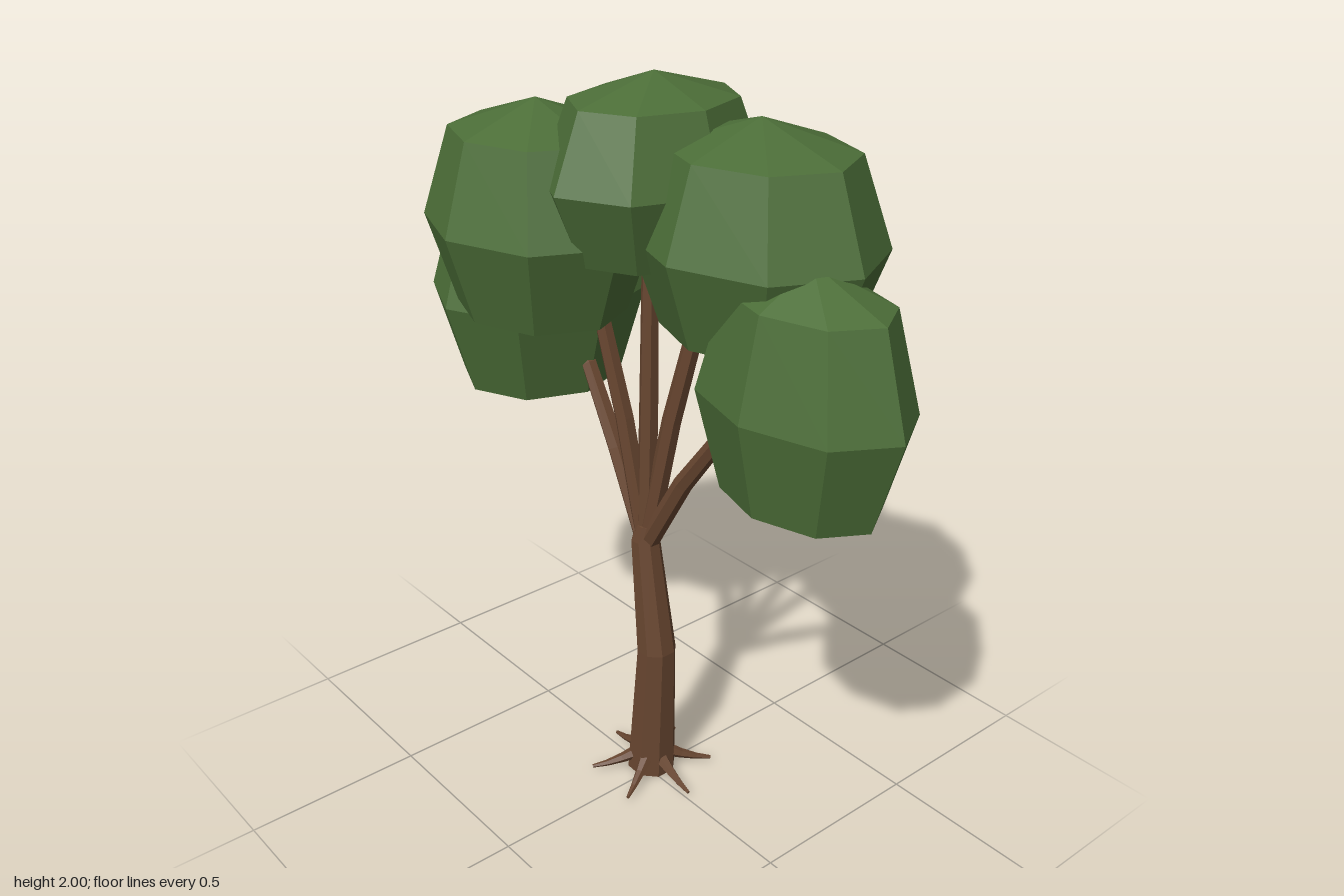
import * as THREE from 'three';

const V = (p) => new THREE.Vector3(...p);

function faceted(geometry) {
  const g = geometry.index ? geometry.toNonIndexed() : geometry;
  g.computeVertexNormals();
  return g;
}

// Tapered, capped limb through points [x, y, z, radius]
function limb(path, sides) {
  const pts = path.map((p) => V(p.slice(0, 3)));
  const up = new THREE.Vector3(0, 1, 0);
  const positions = [];
  const index = [];
  pts.forEach((p, k) => {
    const dir = pts[Math.min(k + 1, pts.length - 1)].clone().sub(pts[Math.max(k - 1, 0)]).normalize();
    const q = new THREE.Quaternion().setFromUnitVectors(up, dir);
    for (let s = 0; s < sides; s++) {
      const a = ((s + 0.5) / sides) * Math.PI * 2;
      const v = new THREE.Vector3(Math.cos(a), 0, Math.sin(a)).multiplyScalar(path[k][3]);
      positions.push(...v.applyQuaternion(q).add(p).toArray());
    }
  });
  const last = (pts.length - 1) * sides;
  const c0 = pts.length * sides;
  positions.push(...pts[0].toArray(), ...pts[pts.length - 1].toArray());
  for (let s = 0; s < sides; s++) {
    const t = (s + 1) % sides;
    for (let k = 0; k < last; k += sides) {
      index.push(k + s, k + sides + s, k + t, k + sides + s, k + sides + t, k + t);
    }
    index.push(c0, s, t, c0 + 1, last + t, last + s);
  }
  const g = new THREE.BufferGeometry();
  g.setAttribute('position', new THREE.Float32BufferAttribute(positions, 3));
  g.setIndex(index);
  return faceted(g);
}

// Eight-sided leaf clump, its middle rings pushed out a little
function clump(radii) {
  const g = new THREE.SphereGeometry(1, 8, 4);
  const pos = g.attributes.position;
  for (let i = 0; i < pos.count; i++) {
    const y = Math.abs(pos.getY(i));
    const k = y > 0.5 && y < 0.9 ? 1.06 : 1;
    pos.setXYZ(i, pos.getX(i) * k * radii[0], pos.getY(i) * k * radii[1], pos.getZ(i) * k * radii[2]);
  }
  return faceted(g);
}

export function createModel() {
  const tree = new THREE.Group();
  tree.name = 'tree';
  const bark = new THREE.MeshStandardMaterial({ color: 0x684630 });
  bark.name = 'bark brown';
  const leaf = new THREE.MeshStandardMaterial({ color: 0x4c6e38 });
  leaf.name = 'leaf green';

  const add = (name, geometry, material) => {
    const mesh = new THREE.Mesh(geometry, material);
    mesh.name = name;
    tree.add(mesh);
    return mesh;
  };

  // Bent trunk
  add('trunk', limb([
    [-0.025, 0.008, -0.025, 0.07],
    [-0.003, 0.42, -0.025, 0.055],
    [-0.05, 0.75, -0.025, 0.04],
    [-0.045, 0.8, -0.025, 0.03],
  ], 8), bark);

  // Branches fanning from the fork, each ending inside a clump
  const branches = {
    branchFarRight: [[-0.17, 0.98, -0.025], [-0.285, 1.185, -0.025], [-0.36, 1.22, -0.03]],
    branchRight: [[-0.105, 1.1, 0], [-0.165, 1.42, 0.035]],
    branchMiddle: [[-0.042, 1.15, -0.03], [-0.035, 1.58, -0.03]],
    branchLeft: [[0.025, 1.12, -0.05], [0.11, 1.48, -0.08]],
    branchFarLeft: [[0.09, 0.97, -0.035], [0.225, 1.155, -0.045], [0.3, 1.18, -0.05]],
  };
  for (const [name, pts] of Object.entries(branches)) {
    const path = [[-0.047, 0.73, -0.025, 0.028], ...pts.map((p, i) => [...p, 0.026 - i * 0.004])];
    add(name, limb(path, 6), bark);
  }

  // Six thin roots around the foot
  for (let i = 0; i < 6; i++) {
    const a = (i / 6) * Math.PI * 2 + 0.05;
    const at = (r, y, w) => [-0.015 + Math.cos(a) * r, y, -0.018 + Math.sin(a) * r, w];
    add('root' + (i + 1), limb([at(0.04, 0.06, 0.02), at(0.085, 0.04, 0.014), at(0.13, 0.025, 0.009), at(0.172, 0.017, 0.005)], 6), bark);
  }

  // Leaf clumps: centre, radii
  const clumps = {
    leavesFarRight: [[-0.51, 1.345, -0.03], [0.28, 0.335, 0.3]],
    leavesRight: [[-0.285, 1.615, 0.12], [0.315, 0.3, 0.275]],
    leavesTop: [[-0.025, 1.755, -0.032], [0.24, 0.245, 0.295]],
    leavesLeft: [[0.245, 1.64, -0.12], [0.335, 0.29, 0.28]],
    leavesFarLeft: [[0.49, 1.34, -0.048], [0.3, 0.33, 0.208]],
  };
  for (const [name, [centre, radii]] of Object.entries(clumps)) {
    add(name, clump(radii), leaf).position.set(...centre);
  }
  return tree;
}
